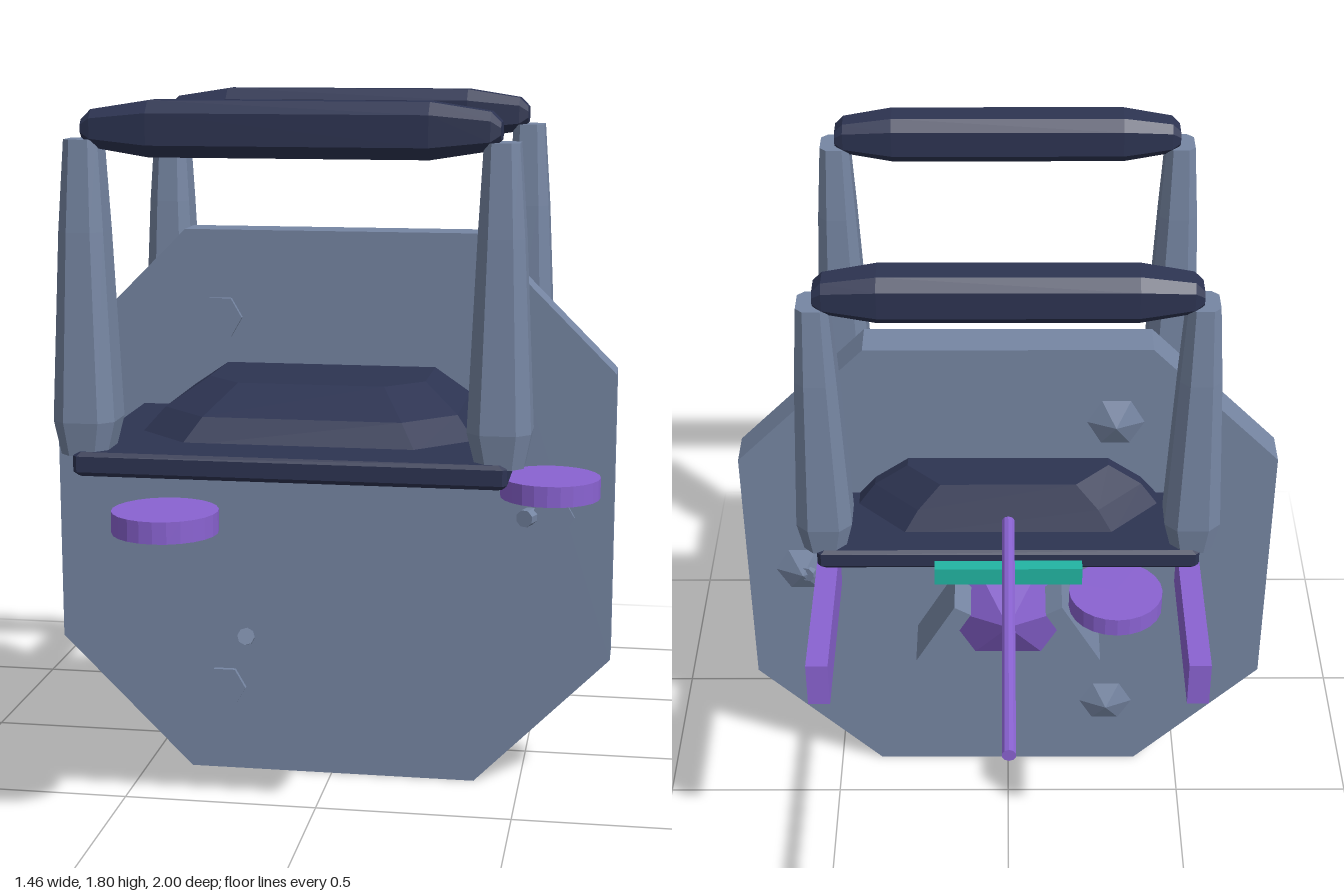
import * as THREE from 'three';

const mat = (name, color) => {
  const m = new THREE.MeshStandardMaterial({ color, flatShading: true });
  m.name = name;
  return m;
};

// Chamfered rectangle at height y, counter-clockwise seen from above
function ring(y, hx, hz, c, cx = 0, cz = 0) {
  return [[hx, hz - c], [hx, -hz + c], [hx - c, -hz], [-hx + c, -hz],
    [-hx, -hz + c], [-hx, hz - c], [-hx + c, hz], [hx - c, hz]]
    .map(([x, z]) => [x + cx, y, z + cz]);
}

// Skin a stack of rings and cap both ends
function loft(rings) {
  const pos = [], n = rings[0].length;
  const tri = (a, b, c) => pos.push(...a, ...b, ...c);
  for (let k = 0; k < rings.length - 1; k++) {
    const a = rings[k], b = rings[k + 1];
    for (let i = 0; i < n; i++) {
      const j = (i + 1) % n;
      tri(a[i], a[j], b[j]);
      tri(a[i], b[j], b[i]);
    }
  }
  const lo = rings[0], hi = rings[rings.length - 1];
  for (let i = 1; i < n - 1; i++) {
    tri(lo[0], lo[i + 1], lo[i]);
    tri(hi[0], hi[i], hi[i + 1]);
  }
  const g = new THREE.BufferGeometry();
  g.setAttribute('position', new THREE.Float32BufferAttribute(pos, 3));
  g.computeVertexNormals();
  return g;
}

export function createModel() {
  const slate = mat('slate grey', 0x7686a3);
  const navy = mat('dark navy', 0x2d3452);
  const purple = mat('purple', 0x8a63d2);
  const teal = mat('teal', 0x22b5a3);

  const model = new THREE.Group();
  const add = (name, geo, material, x = 0, y = 0, z = 0) => {
    const m = new THREE.Mesh(geo, material);
    m.name = name;
    m.position.set(x, y, z);
    model.add(m);
    return m;
  };

  // Upright octagonal plate
  const outline = new THREE.Shape([[-0.38, 0], [0.38, 0], [0.73, 0.35], [0.73, 1.1],
    [0.38, 1.45], [-0.38, 1.45], [-0.73, 1.1], [-0.73, 0.35]].map(p => new THREE.Vector2(...p)));
  add('octagonPlate', new THREE.ExtrudeGeometry(outline, { depth: 0.105, bevelEnabled: false }), slate, 0, 0, 0.142);

  // Platform with faceted dome
  add('platform', loft([
    ring(0.935, 0.495, 0.495, 0.01), ring(0.945, 0.505, 0.503, 0.01),
    ring(0.982, 0.505, 0.503, 0.01), ring(0.992, 0.495, 0.495, 0.01),
  ]), navy, 0, 0, 0.38);
  add('dome', loft([
    ring(0.985, 0.41, 0.39, 0.13, 0, 0.35),
    ring(1.045, 0.36, 0.345, 0.12, 0, 0.335),
    ring(1.107, 0.27, 0.265, 0.09, 0, 0.285),
  ]), navy);

  // Front and back handles: two posts and a grip each
  for (const [label, z] of [['front', 0.805], ['back', -0.048]]) {
    for (const s of [-1, 1]) {
      add(label + 'HandlePost', loft([
        ring(0.98, 0.055, 0.065, 0.025, s * 0.485),
        ring(1.06, 0.073, 0.077, 0.032, s * 0.483),
        ring(1.5, 0.053, 0.063, 0.025, s * 0.482),
        ring(1.71, 0.04, 0.05, 0.018, s * 0.48),
      ]), slate, 0, 0, z);
    }
    const grip = add(label + 'HandleGrip', loft([
      ring(-0.478, 0.02, 0.04, 0.012), ring(-0.455, 0.043, 0.048, 0.02),
      ring(-0.32, 0.064, 0.064, 0.028), ring(0.32, 0.064, 0.064, 0.028),
      ring(0.455, 0.043, 0.048, 0.02), ring(0.478, 0.02, 0.04, 0.012),
    ]), navy, 0, 1.735, z);
    grip.rotation.z = -Math.PI / 2;
  }

  // Three discs and three plate bolts, spaced by thirds of a turn
  for (let i = 0; i < 3; i++) {
    const a = i * Math.PI * 2 / 3;
    const x = 0.575 * Math.cos(a), s = 0.575 * Math.sin(a);
    add('disc', new THREE.CylinderGeometry(0.125, 0.125, 0.052, 24), purple, x, 0.835, 0.375 + s);

    const by = 0.727 + s;
    const head = add('boltHead', new THREE.CylinderGeometry(0.057, 0.057, 0.03, 6), slate, x, by, 0.245);
    head.rotation.set(Math.PI / 2, Math.PI / 6, 0, 'XYZ');
    const tip = add('boltTip', new THREE.ConeGeometry(0.08, 0.035, 6), slate, x, by, 0.126);
    tip.rotation.set(-Math.PI / 2, Math.PI / 6, 0, 'XYZ');
  }

  // Small tilted pins beside the bolts
  const pin = (x, y, z, length, dx, dy) => {
    const p = add('pin', new THREE.CylinderGeometry(0.023, 0.023, length, 8), slate, x, y, z);
    p.quaternion.setFromUnitVectors(new THREE.Vector3(0, 1, 0), new THREE.Vector3(dx, dy, 1).normalize());
  };
  pin(0.535, 0.727, 0.2, 0.18, -0.35, 0);
  pin(-0.23, 0.365, 0.235, 0.06, 0.1, 0.3);

  // Faceted thruster pod pointing backwards
  const pod = add('pod', new THREE.LatheGeometry([[0, -0.125], [0.105, -0.125], [0.182, 0.035], [0, 0.12]]
    .map(p => new THREE.Vector2(...p)), 6, Math.PI / 6), purple, 0, 0.73, 0);
  pod.rotation.x = -Math.PI / 2;
  pod.rotation.y = 0;
  pod.geometry.rotateY(Math.PI / 3);

  // Paired slanted fins and side rails
  for (const s of [-1, 1]) {
    const fin = add('fin', new THREE.BoxGeometry(0.05, 0.214, 0.15), slate, s * 0.175, 0.735, -0.095);
    fin.rotation.z = s * 0.52;
    add('sideRail', new THREE.BoxGeometry(0.056, 0.125, 0.495), purple, s * 0.481, 0.87, -0.265);
  }

  // Rear boom with crossbar
  const boom = add('boom', new THREE.CylinderGeometry(0.017, 0.017, 0.88, 10), purple, 0, 1.09, -0.56);
  boom.rotation.x = Math.PI / 2;
  add('crossbar', new THREE.BoxGeometry(0.376, 0.05, 0.035), teal, 0, 1.055, -0.29);

  return model;
}
